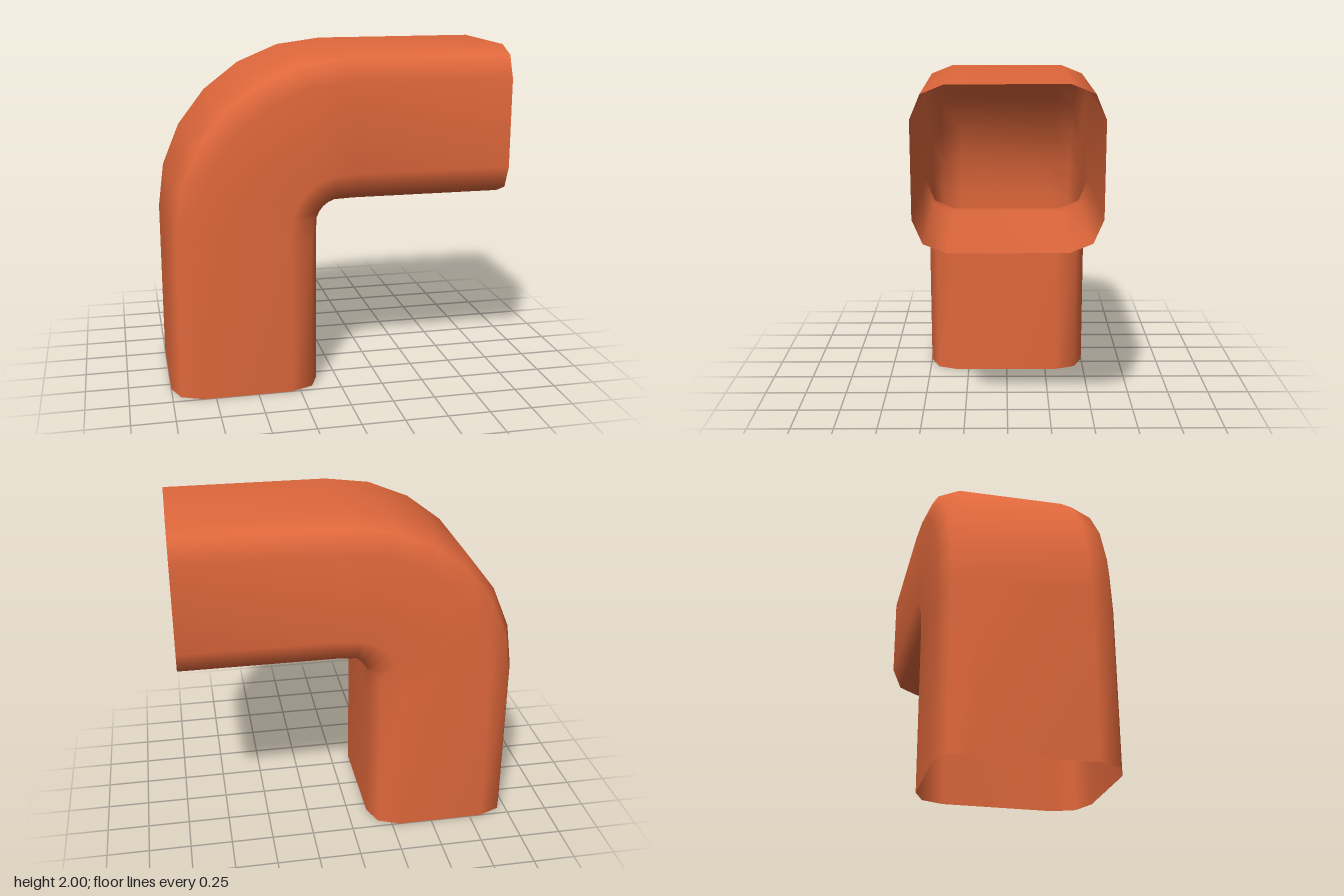
import * as THREE from 'three';

const OUTER_R = 1.03; // radius of the outer wall of the bend
const CX = 0.03, CY = 0.97; // centre of the bend
const STEPS = 6;

// Cross-section as [depth from outer wall, z], corners cut in two facets
const half = [[0, 0.32], [0.05, 0.445], [0.18, 0.5], [0.7, 0.5], [0.83, 0.445], [0.88, 0.32]];
const section = [...half, ...half.map(([d, z]) => [d, -z]).reverse()];

function elbowGeometry() {
  const rings = [];
  // Open lower end
  rings.push(section.map(([d, z]) => [d - 1, 0, z]));
  // Quarter bend; the inner wall of its first and last rings reaches further along the pipe
  for (let i = 0; i <= STEPS; i++) {
    const a = (i / STEPS) * Math.PI / 2;
    const reach = i === 0 ? -0.07 : i === STEPS ? 0.07 : 0;
    rings.push(section.map(([d, z]) => {
      const r = OUTER_R - d, s = reach * d / 0.88;
      return [CX - r * Math.cos(a) + s * Math.sin(a), CY + r * Math.sin(a) + s * Math.cos(a), z];
    }));
  }
  // Open side end
  rings.push(section.map(([d, z]) => [1, 2 - d, z]));

  const n = section.length, index = [];
  for (let i = 0; i < rings.length - 1; i++) {
    for (let j = 0; j < n; j++) {
      const k = (j + 1) % n;
      const a = i * n + j, b = i * n + k, c = a + n, d = b + n;
      index.push(a, b, d, a, d, c);
    }
  }
  const geo = new THREE.BufferGeometry();
  geo.setAttribute('position', new THREE.Float32BufferAttribute(rings.flat(2), 3));
  geo.setIndex(index);
  geo.computeVertexNormals();
  return geo;
}

export function createModel() {
  const orange = new THREE.MeshStandardMaterial({ color: 0xe0683c, side: THREE.DoubleSide });
  orange.name = 'orange';
  const pipe = new THREE.Mesh(elbowGeometry(), orange);
  pipe.name = 'elbowPipe';
  const group = new THREE.Group();
  group.name = 'pipeBend';
  group.add(pipe);
  return group;
}
